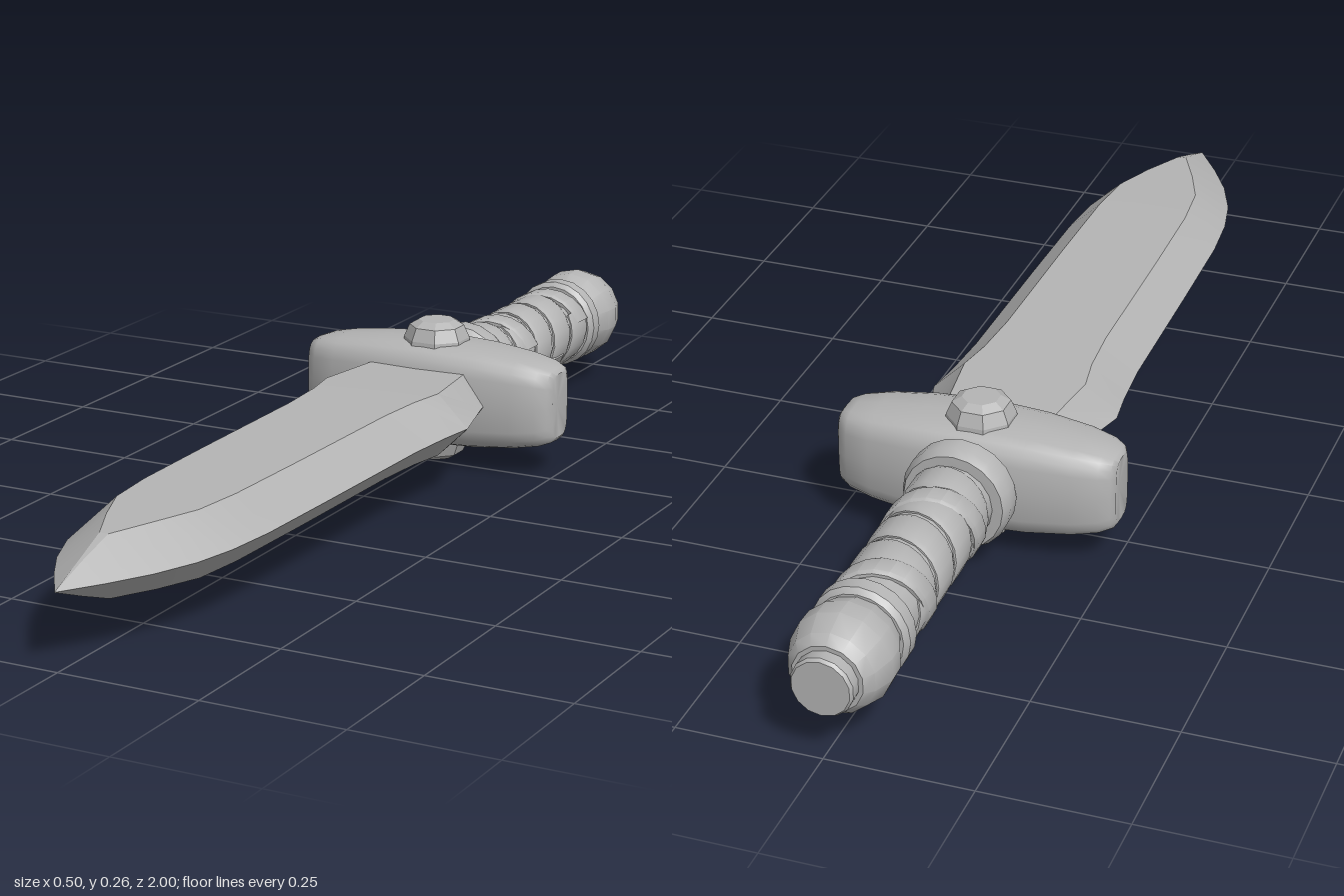
import * as THREE from 'three';
import { toCreasedNormals } from 'three/addons/utils/BufferGeometryUtils.js';

const MID = 0.13; // height of the dagger's long axis
const V = (x, y, z) => new THREE.Vector3(x, y, z);

// Skin a list of closed rings, counter-clockwise around the path; caps fan to a centre point.
function loft(rings, dent = 0) {
  const n = rings[0].length, pos = [], idx = [];
  rings.forEach(r => r.forEach(p => pos.push(p.x, p.y, p.z)));
  for (let i = 0; i < rings.length - 1; i++) {
    for (let j = 0; j < n; j++) {
      const k = (j + 1) % n, a = i * n + j, b = i * n + k;
      idx.push(a, b, b + n, a, b + n, a + n);
    }
  }
  [0, rings.length - 1].forEach((ri, end) => {
    const c = V(0, 0, 0);
    rings[ri].forEach(p => c.addScaledVector(p, 1 / n));
    const ci = pos.length / 3;
    pos.push(c.x, c.y, c.z + (end ? -dent : dent));
    for (let j = 0; j < n; j++) {
      const a = ri * n + j, b = ri * n + (j + 1) % n;
      if (end) idx.push(ci, a, b); else idx.push(ci, b, a);
    }
  });
  const g = new THREE.BufferGeometry();
  g.setAttribute('position', new THREE.Float32BufferAttribute(pos, 3));
  g.setIndex(idx);
  return g;
}

// Turned part along z; profile is [radius, distance towards the back]
function turned(profile, sides) {
  const g = new THREE.LatheGeometry(profile.map(p => new THREE.Vector2(p[0], p[1])), sides);
  return g.rotateX(-Math.PI / 2);
}

// Flat strap wound round the grip from z0 to z1
function strap(z0, z1, turns, width, start, height) {
  const rings = [], steps = Math.ceil(Math.abs(turns) * 20);
  for (let i = 0; i <= steps; i++) {
    const t = i / steps, a = start + t * turns * Math.PI * 2;
    const z = z0 + (z1 - z0) * t, h = width / 2, r0 = 0.062, r1 = 0.07 + height;
    rings.push([[r0, -h], [r0, h], [r1 - 0.004, h], [r1, h * 0.7], [r1, -h * 0.7], [r1 - 0.004, -h]]
      .map(([r, dz]) => V(Math.cos(a) * r, Math.sin(a) * r, z + dz)));
  }
  return loft(rings);
}

export function createModel() {
  const group = new THREE.Group();
  group.name = 'dagger';
  const grey = new THREE.MeshStandardMaterial({ color: 0xb4b4b4 });
  grey.name = 'plain grey';
  const add = (name, geo, y = MID, z = 0, crease = 0.6) => {
    const m = new THREE.Mesh(toCreasedNormals(geo, crease), grey);
    m.name = name;
    m.position.set(0, y, z);
    group.add(m);
    return m;
  };

  // Blade: hexagonal section [z, edge half-width, flat half-width, half-thickness]
  const blade = [
    [-0.25, 0.13, 0.09, 0.055], [-0.2, 0.135, 0.095, 0.056], [-0.07, 0.17, 0.112, 0.057],
    [0, 0.161, 0.1, 0.057], [0.1, 0.154, 0.093, 0.057], [0.4, 0.15, 0.09, 0.057],
    [0.6, 0.146, 0.086, 0.057], [0.7, 0.137, 0.076, 0.057], [0.78, 0.12, 0.045, 0.056],
    [0.86, 0.088, 0.008, 0.053], [0.93, 0.048, 0.003, 0.028], [1, 0.001, 0.0005, 0.001]
  ];
  add('blade', loft(blade.map(([z, w, f, h]) =>
    [V(w, 0, z), V(f, h, z), V(-f, h, z), V(-w, 0, z), V(-f, -h, z), V(f, -h, z)])), MID, 0, 0.3);

  // Guard: rounded sections running sideways [x, half-depth, half-height]
  const half = [[0, 0.089, 0.095], [0.1, 0.084, 0.091], [0.18, 0.073, 0.083],
    [0.225, 0.06, 0.075], [0.244, 0.046, 0.068], [0.25, 0.032, 0.06]];
  const guard = [...half.slice(1).reverse().map(([x, d, h]) => [-x, d, h]), ...half];
  const soft = v => Math.sign(v) * Math.pow(Math.abs(v), 0.5);
  add('guard', loft(guard.map(([x, d, h]) => Array.from({ length: 20 }, (_, i) => {
    const a = i / 20 * Math.PI * 2;
    return V(soft(Math.cos(a)) * d, soft(Math.sin(a)) * h, x);
  })), 0.006).rotateY(Math.PI / 2), MID, -0.287, 0.7);

  // Eight-sided studs above and below the guard
  for (const s of [1, -1]) {
    const stud = new THREE.LatheGeometry([[0.062, 0.08], [0.06, 0.097], [0.05, 0.12], [0.033, 0.13], [0, 0.13]]
      .map(p => new THREE.Vector2(p[0], p[1])), 8, Math.PI / 8);
    add(s > 0 ? 'upperStud' : 'lowerStud', stud, MID, -0.287, 0.2).rotation.x = s > 0 ? 0 : Math.PI;
  }

  // Collars at both ends of the grip
  add('frontCollar', turned([[0, 0.36], [0.085, 0.365], [0.095, 0.378], [0.096, 0.41], [0.088, 0.427], [0, 0.43]], 20));
  add('rearCollar', turned([[0, 0.798], [0.076, 0.8], [0.084, 0.81], [0.084, 0.836], [0.076, 0.846], [0, 0.848]], 20));

  // Grip with its wound straps
  add('grip', turned([[0, 0.42], [0.07, 0.42], [0.069, 0.6], [0.07, 0.81], [0, 0.81]], 16));
  add('gripWrap', strap(-0.455, -0.775, 4, 0.07, 0.6, 0.006));
  add('frontCrossStrap', strap(-0.55, -0.45, 0.9, 0.05, 0.3, 0.009));
  add('rearCrossStrap', strap(-0.78, -0.67, 0.9, 0.05, 0.3, 0.009));

  // Pommel and end cap
  add('pommel', turned([[0, 0.84], [0.07, 0.84], [0.086, 0.88], [0.087, 0.915], [0.074, 0.955], [0.06, 0.972], [0, 0.972]], 14), MID, 0, 0.5);
  add('endCap', turned([[0, 0.96], [0.052, 0.96], [0.053, 0.994], [0.049, 1], [0, 1]], 14));

  return group;
}
